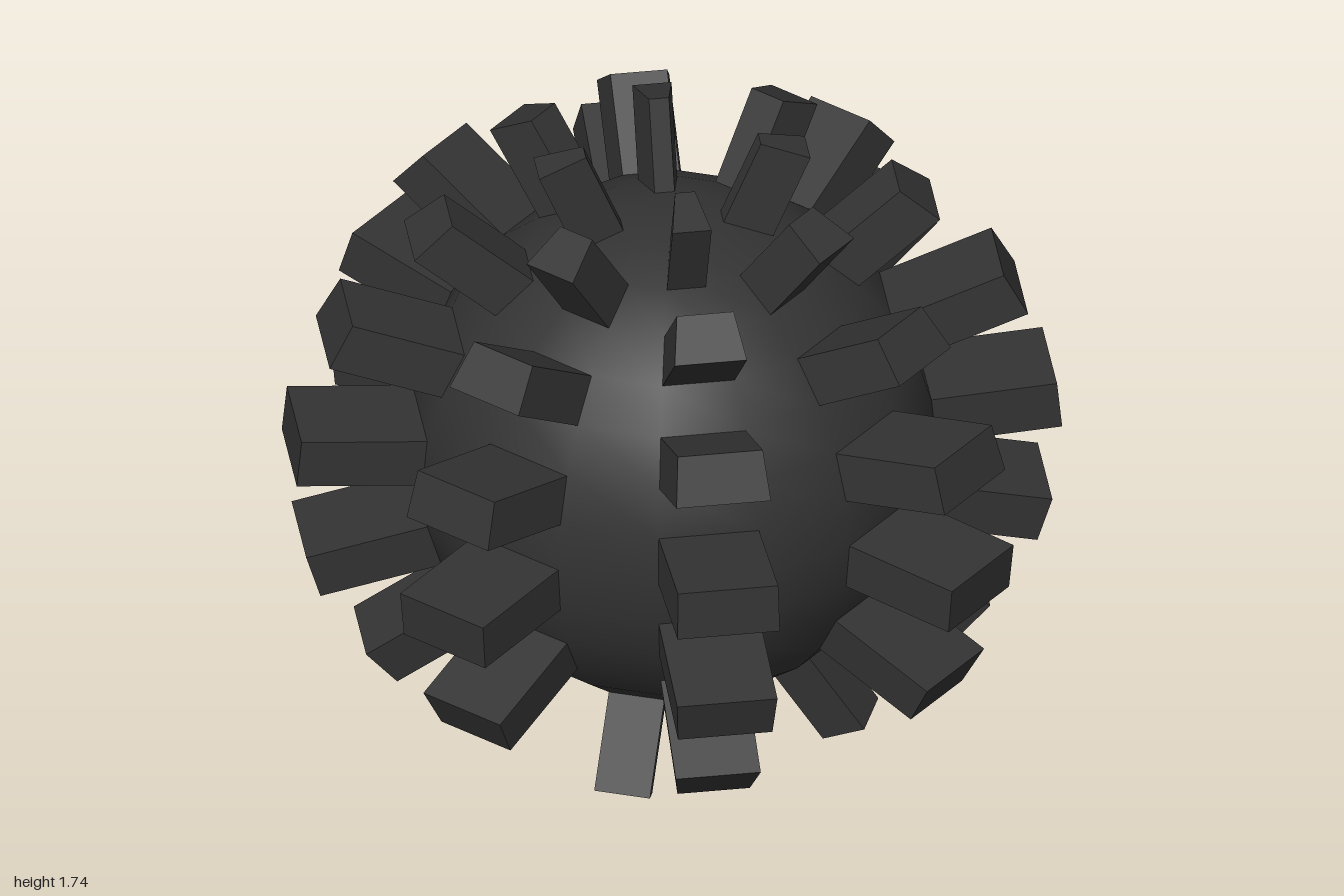
import * as THREE from 'three';

const R = 0.68, CY = 0.844, STEP = Math.PI / 8;
// stud length along each axis (the studs are a little longer sideways)
const REACH = new THREE.Vector3(0.328, 0.245, 0.29);

// Point on the ball at grid column i (around) and row j (up from the equator)
function ballPoint(i, j) {
  const az = i * STEP, lat = j * STEP / 2;
  return new THREE.Vector3(
    R * Math.cos(lat) * Math.sin(az),
    CY + R * Math.sin(lat),
    R * Math.cos(lat) * Math.cos(az)
  );
}

// One grid cell of the ball pushed straight outwards
function studGeometry(i, j) {
  const base = [ballPoint(i, j), ballPoint(i + 1, j), ballPoint(i + 1, j + 1), ballPoint(i, j + 1)];
  const normal = base[2].clone().sub(base[0]).cross(base[3].clone().sub(base[1])).normalize();
  const offset = normal.multiply(REACH);
  const corners = [...base, ...base.map(p => p.clone().add(offset))];
  const index = [4, 5, 6, 4, 6, 7];
  for (let k = 0; k < 4; k++) {
    const n = (k + 1) % 4;
    index.push(k, n, n + 4, k, n + 4, k + 4);
  }
  const indexed = new THREE.BufferGeometry().setFromPoints(corners);
  indexed.setIndex(index);
  const g = indexed.toNonIndexed();
  g.computeVertexNormals();
  return g;
}

export function createModel() {
  const group = new THREE.Group();
  group.name = 'studdedBall';
  const ballMaterial = new THREE.MeshStandardMaterial({ color: 0x333333 });
  const studMaterial = new THREE.MeshStandardMaterial({ color: 0x333333, side: THREE.DoubleSide });

  // Smooth ball
  const ball = new THREE.Mesh(new THREE.SphereGeometry(R, 16, 16), ballMaterial);
  ball.name = 'ball';
  ball.position.y = CY;
  group.add(ball);

  const studs = new THREE.Group();
  studs.name = 'studs';
  group.add(studs);
  function addStud(i, j) {
    const stud = new THREE.Mesh(studGeometry(i, j), studMaterial);
    stud.name = 'stud';
    studs.add(stud);
  }

  // Four quarters, each with two staggered columns and one foot stud
  for (let q = 0; q < 4; q++) {
    const col = q * 4;
    for (const row of [-4, -2, 0, 2, 4, 6]) {
      // one low stud at the back sits a column further round
      addStud(q === 2 && row === -4 ? col + 1 : col, row);
    }
    for (const row of [-3, -1, 1, 3, 5]) addStud(col + 2, row);
    // foot studs; the back one sits a row higher
    addStud(col - 1, q === 2 ? -5 : -6);
  }
  return group;
}
